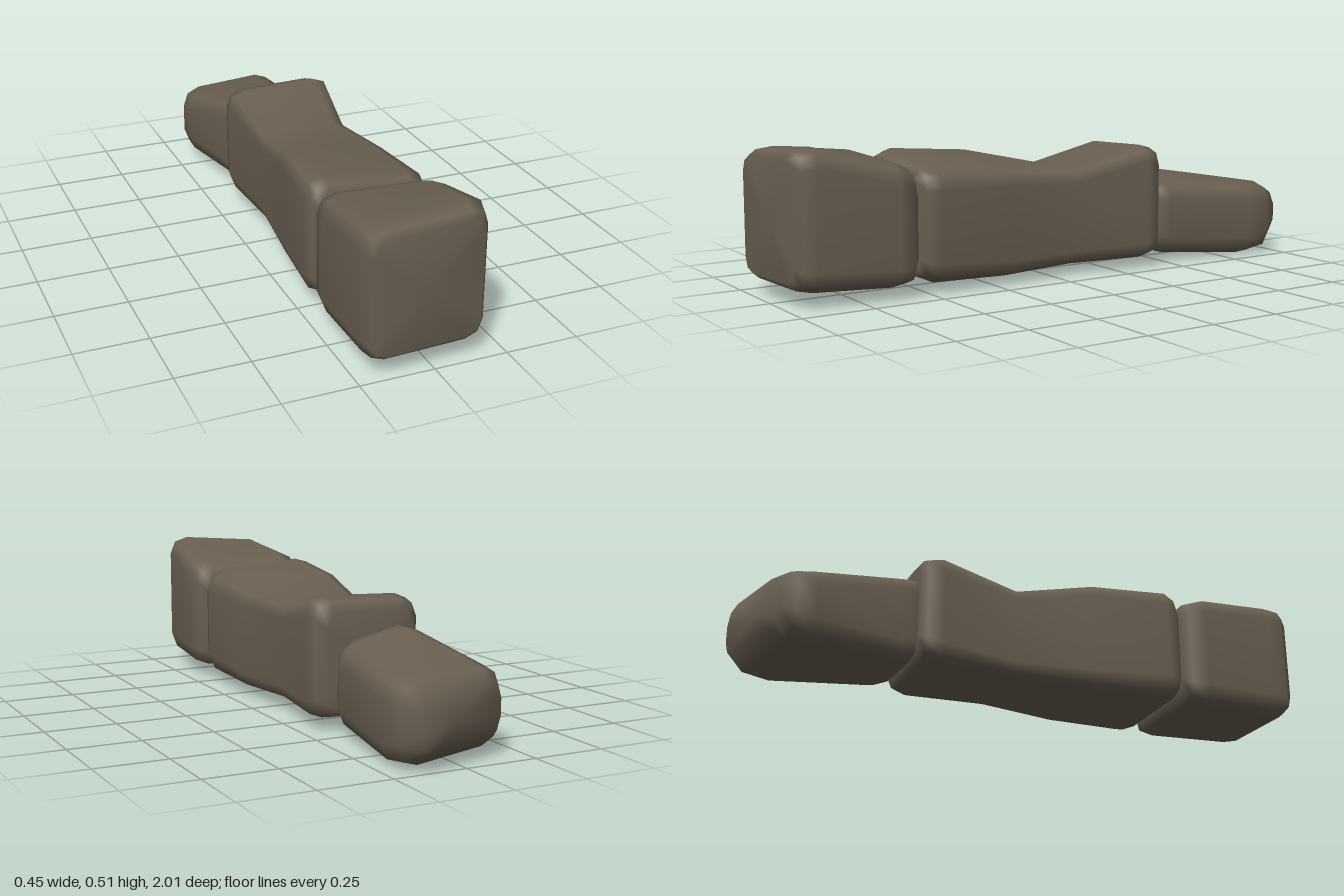
import * as THREE from 'three';

const material = new THREE.MeshStandardMaterial({ color: 0x6a6052, roughness: 0.9 });

// Cross-section with worn corners, counter-clockwise seen from the front.
// Row: z, left x, right x, bottom y at each x, top y at each x, corner size, slant of z along x
function ring([z, x0, x1, b0, b1, t0, t1, c, slant = 0]) {
  const corners = [[x1, b1], [x1, t1], [x0, t0], [x0, b0]];
  const points = [];
  corners.forEach((p, i) => {
    const toward = (q) => {
      const dx = q[0] - p[0], dy = q[1] - p[1], l = Math.hypot(dx, dy);
      return [dx / l * c, dy / l * c];
    };
    const u = toward(corners[(i + 3) % 4]), v = toward(corners[(i + 1) % 4]);
    for (const [a, b] of [[1, 0], [0.28, 0.28], [0, 1]]) {
      const x = p[0] + u[0] * a + v[0] * b;
      points.push([x, p[1] + u[1] * a + v[1] * b, z + slant * x]);
    }
  });
  return points;
}

// Loft from front to back, closed by a fan at each end
function stone(name, sections) {
  const rings = sections.map(ring), n = 12, index = [];
  const positions = rings.flat(2);
  const centre = (r) => [0, 1, 2].map((k) => r.reduce((s, p) => s + p[k], 0) / n);
  const front = rings.length * n, back = front + 1, last = front - n;
  positions.push(...centre(rings[0]), ...centre(rings[rings.length - 1]));
  for (let i = 0; i < n; i++) {
    const j = (i + 1) % n;
    index.push(front, i, j, back, last + j, last + i);
    for (let k = 0; k < last; k += n) {
      index.push(k + i, k + n + i, k + j, k + j, k + n + i, k + n + j);
    }
  }
  const geometry = new THREE.BufferGeometry();
  geometry.setAttribute('position', new THREE.Float32BufferAttribute(positions, 3));
  geometry.setIndex(index);
  geometry.computeVertexNormals();
  const mesh = new THREE.Mesh(geometry, material);
  mesh.name = name;
  return mesh;
}

export function createModel() {
  const group = new THREE.Group();
  group.name = 'stoneRow';

  // Blocky stone at the front, its top falling toward the back
  group.add(stone('frontStone', [
    [0.99, -0.205, 0.16, 0.08, 0.09, 0.465, 0.485, 0.05, -0.03],
    [0.965, -0.218, 0.18, 0.06, 0.065, 0.485, 0.508, 0.06, -0.03],
    [0.91, -0.225, 0.198, 0.048, 0.055, 0.49, 0.525, 0.07],
    [0.64, -0.225, 0.222, 0.04, 0.045, 0.47, 0.455, 0.07],
    [0.58, -0.215, 0.21, 0.05, 0.055, 0.445, 0.43, 0.06],
    [0.553, -0.18, 0.175, 0.085, 0.085, 0.41, 0.39, 0.05],
  ]));

  // Long stone with a waist and a dip in its top
  group.add(stone('middleStone', [
    [0.545, -0.185, 0.175, 0.08, 0.08, 0.42, 0.39, 0.05],
    [0.525, -0.208, 0.198, 0.06, 0.06, 0.45, 0.415, 0.06],
    [0.48, -0.222, 0.21, 0.045, 0.04, 0.47, 0.425, 0.07],
    [0.2, -0.19, 0.2, 0.04, 0.032, 0.45, 0.405, 0.06],
    [-0.08, -0.155, 0.175, 0.045, 0.042, 0.382, 0.385, 0.05],
    [-0.36, -0.175, 0.22, 0.045, 0.042, 0.44, 0.455, 0.06],
    [-0.415, -0.168, 0.208, 0.055, 0.055, 0.43, 0.44, 0.06],
    [-0.44, -0.14, 0.175, 0.08, 0.08, 0.4, 0.405, 0.05],
  ]));

  // Low stone, wider toward its slanted back end
  group.add(stone('backStone', [
    [-0.435, -0.125, 0.13, 0.08, 0.075, 0.345, 0.29, 0.05, -0.03],
    [-0.455, -0.135, 0.155, 0.055, 0.05, 0.36, 0.3, 0.06, -0.08],
    [-0.5, -0.145, 0.172, 0.045, 0.035, 0.355, 0.3, 0.06, -0.05],
    [-0.83, -0.195, 0.21, 0.03, 0.002, 0.293, 0.28, 0.07, -0.12],
    [-0.91, -0.197, 0.205, 0.038, 0.015, 0.28, 0.275, 0.07, -0.2],
    [-0.968, -0.17, 0.17, 0.075, 0.065, 0.25, 0.245, 0.06, -0.26],
  ]));

  return group;
}
